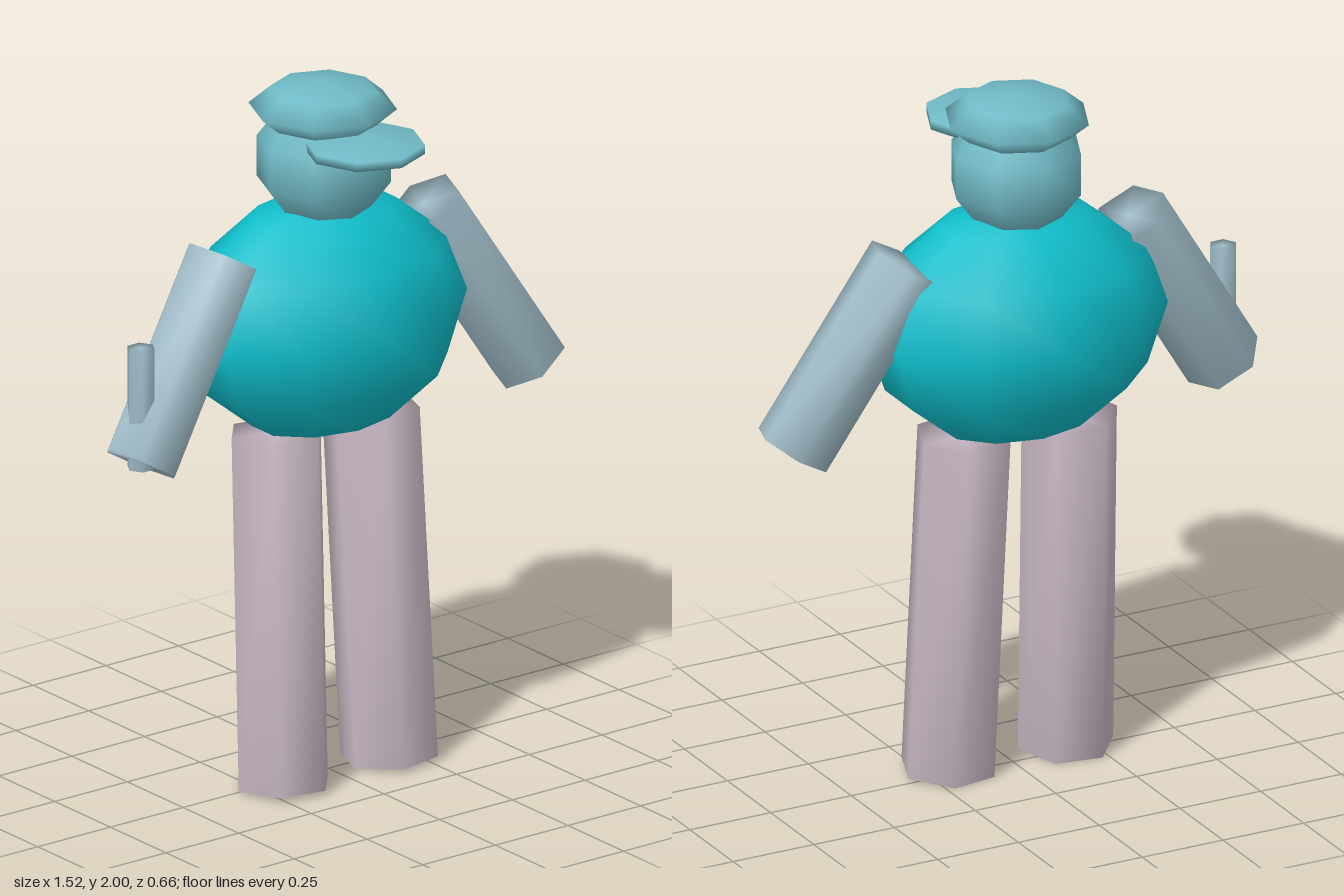
import * as THREE from 'three';
import { mergeVertices } from 'three/addons/utils/BufferGeometryUtils.js';

const paint = (name, color) => {
  const m = new THREE.MeshStandardMaterial({ color });
  m.name = name;
  return m;
};

// Weld all corners so the shading runs smoothly over every edge
function smooth(geometry) {
  geometry.deleteAttribute('normal');
  geometry.deleteAttribute('uv');
  const welded = mergeVertices(geometry, 1e-4);
  welded.computeVertexNormals();
  return welded;
}

function addMesh(group, name, geometry, material) {
  const mesh = new THREE.Mesh(smooth(geometry), material);
  mesh.name = name;
  group.add(mesh);
  return mesh;
}

// Low-poly ellipsoid with a corner on the z axis
function addBlob(group, name, material, radii, center, around, rings) {
  const g = new THREE.SphereGeometry(1, around, rings);
  g.rotateY(Math.PI / 2);
  g.scale(...radii);
  addMesh(group, name, g, material).position.set(...center);
}

// Six-sided rod between two points, twisted about its own axis
function addRod(group, name, material, top, bottom, radius, twist) {
  const a = new THREE.Vector3(...top), b = new THREE.Vector3(...bottom);
  const g = new THREE.CylinderGeometry(radius, radius, a.distanceTo(b), 6);
  g.rotateY(twist);
  const mesh = addMesh(group, name, g, material);
  mesh.position.copy(a).add(b).multiplyScalar(0.5);
  mesh.quaternion.setFromUnitVectors(new THREE.Vector3(0, 1, 0), a.sub(b).normalize());
}

export function createModel() {
  const model = new THREE.Group();
  model.name = 'figure';
  const teal = paint('teal', 0x0fbecb);
  const paleTeal = paint('pale teal', 0x70bac6);
  const greyBlue = paint('grey blue', 0xa0bcc8);
  const mauve = paint('mauve', 0xcabac6);

  // Body, head and cap
  addBlob(model, 'body', teal, [0.44, 0.348, 0.312], [0, 1.328, -0.02], 10, 6);
  addBlob(model, 'head', paleTeal, [0.195, 0.19, 0.195], [0, 1.775, -0.02], 8, 5);
  addBlob(model, 'capCrown', paleTeal, [0.205, 0.073, 0.205], [0, 1.927, -0.025], 8, 4);
  addBlob(model, 'capVisor', paleTeal, [0.192, 0.026, 0.192], [0, 1.864, 0.163], 8, 3);

  // Mirrored limbs
  const twist = THREE.MathUtils.degToRad(-20);
  for (const [side, s] of [['left', 1], ['right', -1]]) {
    addRod(model, side + 'Arm', greyBlue, [s * 0.345, 1.563, -0.025], [s * 0.667, 1.05, 0.03], 0.113, twist * s);
    addRod(model, side + 'Leg', mauve, [s * 0.163, 1.015, -0.022], [s * 0.182, 0.008, 0.035], 0.137, twist * s);
  }

  // Short upright stick held in the right hand
  addRod(model, 'stick', greyBlue, [-0.667, 1.39, 0.03], [-0.667, 1.04, 0.03], 0.04, Math.PI / 6);

  return model;
}
